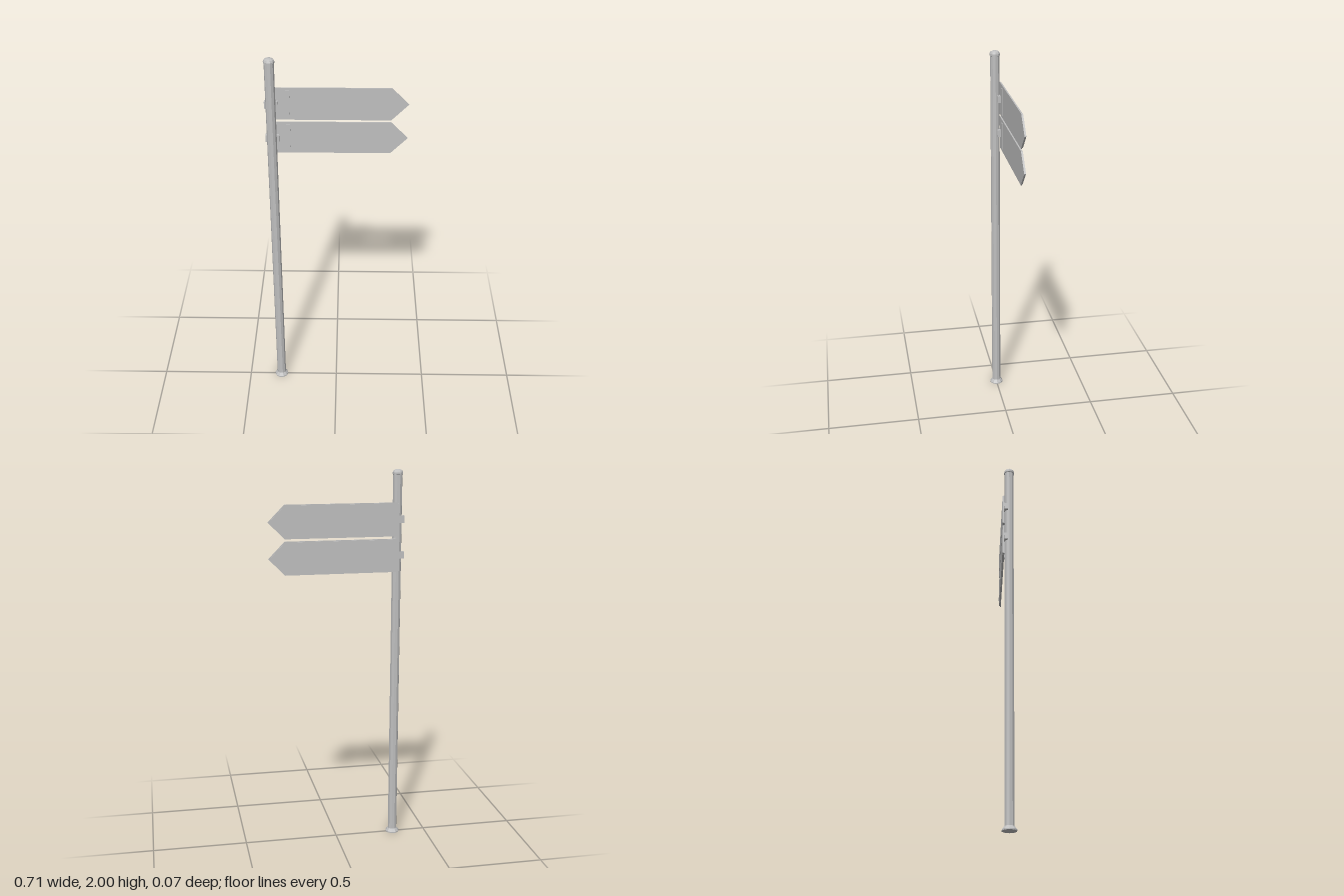
import * as THREE from 'three';

export function createModel() {
  const model = new THREE.Group();
  model.name = 'signpost';
  const metal = new THREE.MeshStandardMaterial({ color: 0xbfbfbf, flatShading: true });
  metal.name = 'grey metal';
  const POST_X = -0.32;

  const add = (parent, name, geometry, x, y, z) => {
    const mesh = new THREE.Mesh(geometry, metal);
    mesh.name = name;
    mesh.position.set(x, y, z);
    parent.add(mesh);
    return mesh;
  };

  // Ten-sided turned part on the post axis, from [radius, height] pairs
  const turned = (name, profile) => {
    const points = profile.map(([r, y]) => new THREE.Vector2(r, y));
    add(model, name, new THREE.LatheGeometry(points, 10), POST_X, 0, 0).rotation.y = Math.PI / 2;
  };
  turned('baseFlange', [[0, 0], [0.037, 0], [0.037, 0.006], [0.025, 0.022]]);
  turned('post', [[0.0245, 0.006], [0.0245, 1.978]]);
  turned('cap', [[0.0245, 1.972], [0.0275, 1.974], [0.0275, 1.984], [0.023, 1.993], [0.013, 1.998], [0, 2]]);

  // Arrow-shaped plate pointing to +x, shrunk by an inset
  const arrowPlate = (inset, depth) => {
    const h = 0.0865 - inset;
    const shape = new THREE.Shape([
      new THREE.Vector2(POST_X, -h),
      new THREE.Vector2(0.27 - inset * 0.4, -h),
      new THREE.Vector2(0.355 - inset * 1.4, 0),
      new THREE.Vector2(0.27 - inset * 0.4, h),
      new THREE.Vector2(POST_X, h),
    ]);
    return new THREE.ExtrudeGeometry(shape, { depth, bevelEnabled: false });
  };

  // Two signs, each with a raised bar and a clamp around the back of the post
  [['upperSign', 1.747], ['lowerSign', 1.562]].forEach(([name, y]) => {
    const sign = new THREE.Group();
    sign.name = name;
    sign.position.y = y;
    model.add(sign);
    add(sign, 'frontPlate', arrowPlate(0, 0.005), 0, 0, -0.03);
    add(sign, 'backPlate', arrowPlate(0.004, 0.005), 0, 0, -0.035);
    add(sign, 'raisedBar', new THREE.BoxGeometry(0.02, 0.142, 0.005), -0.239, 0, -0.0235);
    add(sign, 'clamp', new THREE.BoxGeometry(0.068, 0.037, 0.018), POST_X + 0.001, 0, -0.017);
  });

  return model;
}
